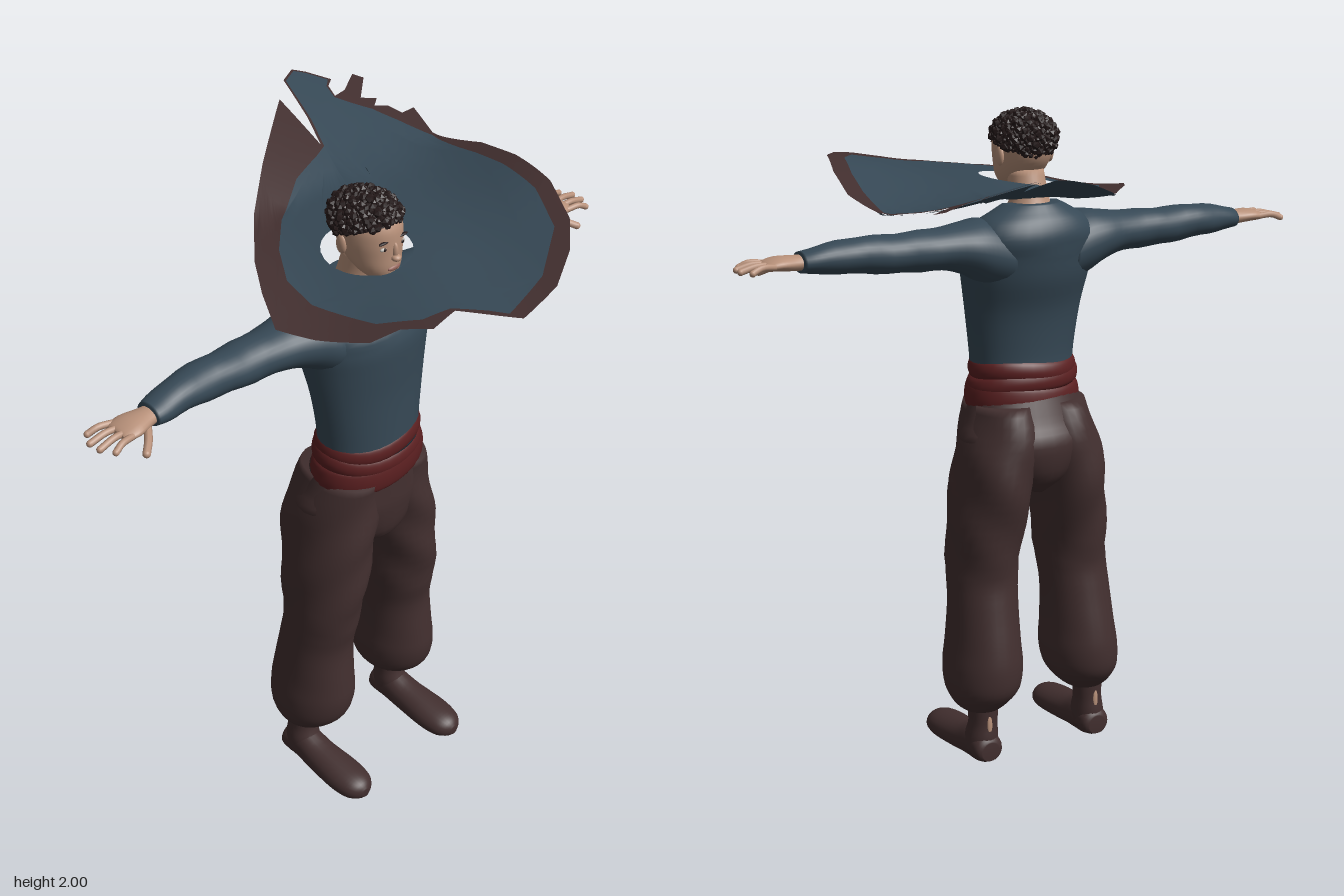
import * as THREE from 'three';
import { mergeGeometries, mergeVertices } from 'three/addons/utils/BufferGeometryUtils.js';

const mat = (name, color) => Object.assign(new THREE.MeshStandardMaterial({ color }), { name });
const M = {
  blue: mat('slate blue cloth', 0x364855), brown: mat('brown cloth', 0x422f2f),
  red: mat('dark red sash', 0x5a1f20), skin: mat('skin', 0xb8917a),
  hair: mat('black hair', 0x231818), white: mat('eye white', 0xb9b4ac), lip: mat('lips', 0x94645a),
};

function add(parent, name, geo, material) {
  const m = new THREE.Mesh(geo, material);
  m.name = name;
  parent.add(m);
  return m;
}

// Smooth closed tube through rings [y, cx, cz, rx, rz], ascending in y; warp(point, angle) adds folds
function loft(rings, warp, seg = 32, steps = 4) {
  const at = i => rings[Math.min(rings.length - 1, Math.max(0, i))];
  const fine = [];
  for (let i = 0; i < rings.length - 1; i++) {
    for (let s = 0; s < steps; s++) {
      const t = s / steps;
      fine.push(rings[i].map((b, k) => {
        const a = at(i - 1)[k], c = at(i + 1)[k], d = at(i + 2)[k];
        return b + 0.5 * t * (c - a + t * (2 * a - 5 * b + 4 * c - d + t * (3 * (b - c) + d - a)));
      }));
    }
  }
  fine.push(at(rings.length - 1));
  const pos = [], idx = [], p = new THREE.Vector3();
  for (const [y, cx, cz, rx, rz] of fine) {
    for (let j = 0; j < seg; j++) {
      const a = j / seg * Math.PI * 2;
      p.set(cx + rx * Math.sin(a), y, cz + rz * Math.cos(a));
      if (warp) warp(p, a, cx, cz);
      pos.push(p.x, p.y, p.z);
    }
  }
  for (let i = 0; i < fine.length - 1; i++) {
    for (let j = 0; j < seg; j++) {
      const a = i * seg + j, b = i * seg + (j + 1) % seg;
      idx.push(a, b, b + seg, a, b + seg, a + seg);
    }
  }
  // end caps
  const n = fine.length * seg, top = n - seg, f = fine[0], l = fine[fine.length - 1];
  pos.push(f[1], f[0], f[2], l[1], l[0], l[2]);
  for (let j = 0; j < seg; j++) {
    const k = (j + 1) % seg;
    idx.push(n, k, j, n + 1, top + j, top + k);
  }
  const g = new THREE.BufferGeometry();
  g.setAttribute('position', new THREE.Float32BufferAttribute(pos, 3));
  g.setIndex(idx);
  g.computeVertexNormals();
  return g;
}
const alongX = g => g.rotateZ(-Math.PI / 2); // ring cx becomes -height
const alongZ = g => g.rotateX(Math.PI / 2);  // ring cz becomes -height
const blob = (x, y, z, rx, ry, rz) => new THREE.SphereGeometry(1, 16, 12).scale(rx, ry, rz).translate(x, y, z);
const smooth = THREE.MathUtils.smoothstep;

// Cloth folds: pushes points in or out from the ring centre
const folds = (amount, around, rise, from, to) => (p, a, cx, cz) => {
  const k = 1 + amount * Math.sin(around * a + rise * p.y) * smooth(p.y, from, to);
  p.x = cx + (p.x - cx) * k;
  p.z = cz + (p.z - cz) * k;
};

// Flat outline in (x, z), subdivided and draped to the cape's height
const capeHeight = (x, z) => 1.785 + 0.15 * x * smooth(z, -0.25, 0.35)
  + Math.max(0, -z - 0.2) * (0.42 - 0.38 * x) + 0.008 * Math.sin(11 * x + 5 * z);
function drape(outline, hole, drop = 0) {
  const pts = list => list.map(([x, z]) => new THREE.Vector2(x, -z));
  const shape = new THREE.Shape(pts(outline));
  shape.holes.push(new THREE.Path(pts(hole)));
  const flat = new THREE.ShapeGeometry(shape).toNonIndexed().attributes.position;
  let tris = [];
  for (let i = 0; i < flat.count; i += 3) tris.push([0, 1, 2].map(k => new THREE.Vector2(flat.getX(i + k), -flat.getY(i + k))));
  const mid = (a, b) => a.clone().add(b).multiplyScalar(0.5);
  for (let n = 0; n < 3; n++) {
    tris = tris.flatMap(([a, b, c]) => {
      const d = mid(a, b), e = mid(b, c), f = mid(c, a);
      return [[a, d, f], [d, b, e], [f, e, c], [d, e, f]];
    });
  }
  const pos = tris.flatMap(([a, b, c]) => (drop ? [a, c, b] : [a, b, c]).flatMap(v => [v.x, capeHeight(v.x, v.y) - drop, v.y]));
  let g = new THREE.BufferGeometry();
  g.setAttribute('position', new THREE.Float32BufferAttribute(pos, 3));
  g = mergeVertices(g, 1e-5);
  g.computeVertexNormals();
  return g;
}

function buildCape(root) {
  const outer = [[-0.37, 0.19], [-0.3, 0.06], [-0.22, -0.06], [-0.07, -0.23], [0.08, -0.36], [0.32, -0.55], [0.29, -0.34],
    [0.34, -0.45], [0.4, -0.62], [0.47, -0.66], [0.51, -0.64], [0.57, -0.59], [0.53, -0.56], [0.51, -0.51], [0.57, -0.53],
    [0.67, -0.6], [0.69, -0.57], [0.59, -0.48], [0.64, -0.46], [0.6, -0.43], [0.64, -0.41], [0.65, -0.36], [0.7, -0.36], [0.65, -0.23],
    [0.67, -0.05], [0.63, 0.12], [0.56, 0.31], [0.46, 0.47], [0.36, 0.56], [0.23, 0.63], [0.08, 0.65], [0.04, 0.59],
    [-0.02, 0.5], [-0.11, 0.51], [-0.16, 0.44], [-0.24, 0.41], [-0.32, 0.29]];
  const inner = [[-0.23, 0.18], [-0.21, 0.06], [-0.13, -0.06], [-0.02, -0.17], [0.13, -0.27], [0.25, -0.31], [0.295, -0.33],
    [0.345, -0.44], [0.405, -0.615], [0.47, -0.652], [0.505, -0.634], [0.556, -0.59], [0.522, -0.56], [0.503, -0.505], [0.58, -0.42],
    [0.61, -0.34], [0.64, -0.22], [0.61, -0.02], [0.575, 0.12], [0.51, 0.3], [0.41, 0.46], [0.24, 0.57], [0.07, 0.61],
    [0.04, 0.56], [-0.02, 0.485], [-0.1, 0.46], [-0.18, 0.37]];
  const neck = Array.from({ length: 28 }, (_, i) => {
    const a = i / 28 * Math.PI * 2;
    return [0.03 + 0.115 * Math.cos(a), 0.12 + 0.14 * Math.sin(a)];
  });
  const cape = new THREE.Group();
  cape.name = 'cape';
  root.add(cape);
  add(cape, 'capeTop', drape(inner, neck), M.blue);
  add(cape, 'capeBorder', drape(outer, inner), M.brown);
  add(cape, 'capeUnderside', drape(outer, neck, 0.005), M.blue);
}

function buildHead(root) {
  const head = new THREE.Group();
  head.name = 'head';
  root.add(head);
  add(head, 'neck', loft([[1.6, 0, 0.12, 0.11, 0.1], [1.685, 0, 0.115, 0.092, 0.083], [1.725, 0, 0.115, 0.062, 0.062], [1.82, 0, 0.14, 0.054, 0.058]]), M.skin);
  add(head, 'face', loft([[1.755, 0, 0.215, 0.018, 0.022], [1.77, 0, 0.2, 0.043, 0.05], [1.8, 0, 0.182, 0.066, 0.076],
    [1.84, 0, 0.163, 0.079, 0.096], [1.88, 0, 0.155, 0.085, 0.104], [1.92, 0, 0.15, 0.083, 0.104], [1.955, 0, 0.147, 0.066, 0.082], [1.975, 0, 0.145, 0.02, 0.03]]), M.skin);
  add(head, 'nose', mergeGeometries([blob(0, 1.836, 0.262, 0.014, 0.01, 0.015), blob(0, 1.855, 0.257, 0.009, 0.026, 0.011)]), M.skin);
  add(head, 'mouth', blob(0, 1.803, 0.255, 0.023, 0.008, 0.007), M.lip);
  for (const s of [1, -1]) {
    add(head, 'ear', blob(s * 0.085, 1.86, 0.14, 0.01, 0.028, 0.018), M.skin);
    add(head, 'eyeWhite', blob(s * 0.033, 1.868, 0.248, 0.013, 0.006, 0.006), M.white);
    add(head, 'iris', blob(s * 0.033, 1.868, 0.2525, 0.005, 0.005, 0.003), M.hair);
    add(head, 'eyebrow', blob(s * 0.035, 1.888, 0.25, 0.018, 0.004, 0.006), M.hair);
  }
  // curly hair: a tilted cap covered in small curls
  const r = [0.088, 0.073, 0.108], c = [0, 1.912, 0.145];
  add(head, 'hairCap', new THREE.SphereGeometry(1, 32, 20, 0, Math.PI * 2, 0, 1.83).rotateX(-0.54).scale(...r).translate(...c), M.hair);
  const curls = [], total = 520;
  for (let i = 0; i < total; i++) {
    const y = 1 - 2 * (i + 0.5) / total, w = Math.sqrt(1 - y * y), a = i * 2.39996;
    const d = [w * Math.cos(a), y, w * Math.sin(a)];
    if (y < 0.6 * d[2] - 0.3) continue;
    const k = 0.99 + 0.04 * Math.sin(i * 7.3);
    curls.push(new THREE.IcosahedronGeometry(0.011 + 0.003 * Math.sin(i * 3.7), 0).rotateX(i).rotateY(i * 2)
      .translate(...d.map((v, n) => c[n] + v * r[n] * k)));
  }
  add(head, 'hairCurls', mergeGeometries(curls), M.hair);
}

function buildArm(side) {
  add(side, 'sleeve', alongX(loft([[0.1, -1.57, 0.125, 0.1, 0.12], [0.17, -1.59, 0.12, 0.098, 0.115], [0.23, -1.605, 0.11, 0.078, 0.1],
    [0.31, -1.612, 0.105, 0.062, 0.078], [0.45, -1.613, 0.1, 0.057, 0.066], [0.6, -1.62, 0.1, 0.05, 0.058],
    [0.7, -1.615, 0.11, 0.038, 0.05], [0.745, -1.613, 0.115, 0.031, 0.042]], folds(0.035, 2, 45, 0.25, 0.4))), M.blue);
  const hand = new THREE.Group();
  hand.name = 'hand';
  side.add(hand);
  add(hand, 'palm', alongX(loft([[0.72, -1.613, 0.115, 0.022, 0.03], [0.76, -1.613, 0.118, 0.022, 0.036],
    [0.81, -1.615, 0.122, 0.02, 0.05], [0.845, -1.612, 0.122, 0.014, 0.046], [0.855, -1.612, 0.122, 0.006, 0.04]], null, 20)), M.skin);
  const finger = (name, points, radius) => {
    const curve = new THREE.CatmullRomCurve3(points.map(p => new THREE.Vector3(...p)));
    add(hand, name, mergeGeometries([new THREE.TubeGeometry(curve, 8, radius, 8), blob(...points[points.length - 1], radius, radius, radius)]), M.skin);
  };
  [0.905, 0.925, 0.922, 0.9].forEach((tip, i) => {
    const z = 0.083 + i * 0.026, spread = (i - 1.5) * 0.011;
    finger('finger', [[0.83, 1.613, z], [0.875, 1.616, z + spread * 0.6], [tip, 1.605, z + spread]], 0.0095);
  });
  finger('thumb', [[0.765, 1.608, 0.135], [0.8, 1.595, 0.182], [0.828, 1.58, 0.208]], 0.011);
}

function buildLeg(side) {
  add(side, 'trouserLeg', loft([[0.155, 0.19, 0.1, 0.05, 0.055], [0.18, 0.188, 0.105, 0.083, 0.09], [0.23, 0.18, 0.11, 0.113, 0.132],
    [0.3, 0.175, 0.115, 0.119, 0.145], [0.38, 0.172, 0.118, 0.111, 0.138], [0.5, 0.167, 0.125, 0.106, 0.122], [0.6, 0.16, 0.14, 0.108, 0.125],
    [0.75, 0.147, 0.138, 0.112, 0.147], [0.88, 0.127, 0.13, 0.116, 0.16], [1, 0.105, 0.13, 0.117, 0.157], [1.12, 0.085, 0.15, 0.1, 0.135]],
    folds(0.035, 3, 28, 0.62, 0.35)), M.brown);
  const boot = new THREE.Group();
  boot.name = 'boot';
  side.add(boot);
  add(boot, 'bootShaft', loft([[0.02, 0.197, 0.085, 0.05, 0.05], [0.07, 0.196, 0.09, 0.05, 0.058], [0.12, 0.193, 0.085, 0.045, 0.048], [0.19, 0.192, 0.085, 0.05, 0.05]], null, 24), M.brown);
  const flatSole = p => { p.z = Math.min(p.z, 0); };
  add(boot, 'bootFoot', alongZ(loft([[0.028, 0.197, -0.03, 0.03, 0.03], [0.045, 0.197, -0.035, 0.048, 0.045], [0.11, 0.197, -0.04, 0.05, 0.06],
    [0.18, 0.199, -0.03, 0.055, 0.052], [0.28, 0.2, -0.025, 0.063, 0.045], [0.34, 0.2, -0.022, 0.056, 0.04],
    [0.37, 0.2, -0.02, 0.038, 0.03], [0.385, 0.2, -0.018, 0.014, 0.014]], flatSole, 24)), M.brown);
  add(boot, 'heelOpening', blob(0.195, 0.115, 0.039, 0.009, 0.034, 0.005), M.skin);
}

export function createModel() {
  const root = new THREE.Group();
  root.name = 'cloakedMan';

  // shirt body with a scooped neckline
  const wrinkle = folds(0.018, 4, 22, 1.6, 1.35);
  add(root, 'shirt', loft([[1.2, 0, 0.165, 0.165, 0.125], [1.27, 0, 0.165, 0.17, 0.122], [1.4, 0, 0.157, 0.188, 0.128], [1.5, 0, 0.143, 0.205, 0.146],
    [1.57, 0, 0.137, 0.215, 0.152], [1.63, 0, 0.124, 0.21, 0.148], [1.675, 0, 0.113, 0.18, 0.122], [1.705, 0, 0.11, 0.13, 0.095], [1.725, 0, 0.11, 0.09, 0.078]],
    (p, a, cx, cz) => {
      wrinkle(p, a, cx, cz);
      p.y -= 0.05 * Math.max(0, Math.cos(a)) ** 2 * smooth(p.y, 1.6, 1.725);
    }), M.blue);

  // waist sash: overlapping wraps, tilted against each other
  const wraps = [[1.09, 1.18, 0.184, 0.134, 0.012], [1.15, 1.215, 0.179, 0.131, -0.012], [1.19, 1.255, 0.171, 0.129, 0.006]];
  for (const [y0, y1, rx, rz, tilt] of wraps) {
    const m = (y0 + y1) / 2;
    add(root, 'sashWrap', loft([[y0, 0, 0.163, rx - 0.012, rz - 0.012], [y0 + 0.012, 0, 0.163, rx, rz], [m, 0, 0.163, rx + 0.003, rz + 0.003],
      [y1 - 0.012, 0, 0.163, rx - 0.003, rz - 0.003], [y1, 0, 0.163, rx - 0.015, rz - 0.015]],
      (p, a) => { p.y += tilt * Math.sin(a + 0.6) + 0.004 * Math.sin(3 * a); }), M.red);
  }

  add(root, 'trouserSeat', loft([[0.84, 0, 0.13, 0.03, 0.08], [0.9, 0, 0.13, 0.13, 0.14], [1, 0, 0.13, 0.22, 0.16], [1.07, 0, 0.145, 0.202, 0.146],
    [1.15, 0, 0.16, 0.172, 0.128]]), M.brown);

  for (const s of [1, -1]) {
    const side = new THREE.Group();
    side.name = s > 0 ? 'leftLimbs' : 'rightLimbs';
    side.scale.x = s;
    buildArm(side);
    buildLeg(side);
    root.add(side);
  }
  buildHead(root);
  buildCape(root);
  return root;
}
